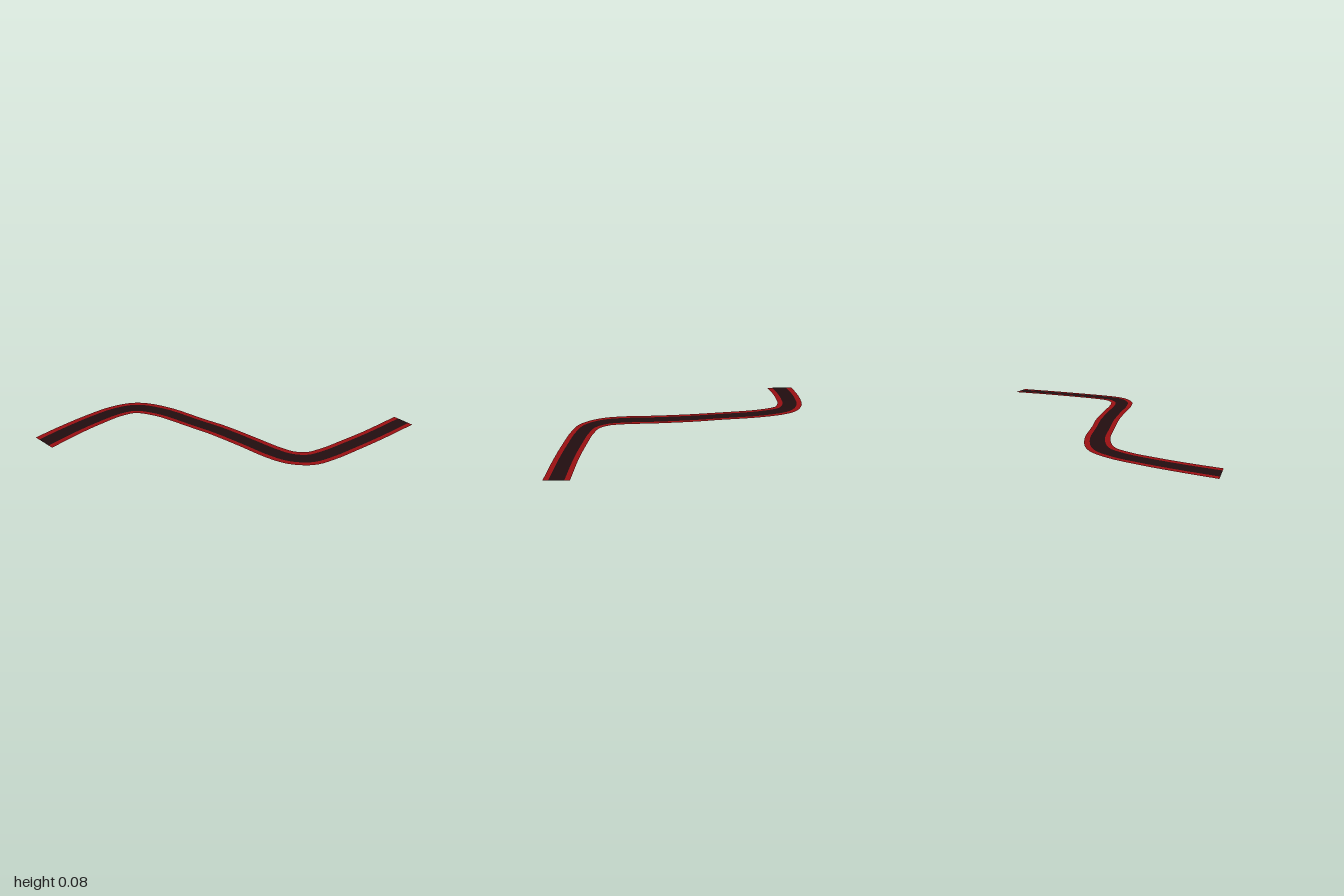
import * as THREE from 'three';

// Stations along the centre line: x, y, z, full width
const STATIONS = [
  [-0.668, 0, 0.99, 0.197],
  [-0.69, 0.015, 0.8, 0.188],
  [-0.70, 0.03, 0.6, 0.182],
  [-0.69, 0.043, 0.42, 0.175],
  [-0.637, 0.051, 0.29, 0.167],
  [-0.47, 0.057, 0.187, 0.156],
  [-0.16, 0.062, 0.1, 0.15],
  [0.015, 0.065, 0.053, 0.154],
  [0.255, 0.068, 0.008, 0.155],
  [0.465, 0.072, -0.025, 0.158],
  [0.585, 0.074, -0.065, 0.158],
  [0.67, 0.075, -0.15, 0.158],
  [0.70, 0.075, -0.287, 0.15],
  [0.709, 0.075, -0.45, 0.148],
  [0.715, 0.075, -0.68, 0.145],
  [0.709, 0.075, -1, 0.148],
];
const STEPS = 90;

const centreLine = new THREE.CatmullRomCurve3(
  STATIONS.map(([x, y, z]) => new THREE.Vector3(x, y, z)));

function widthAt(t) {
  const s = t * (STATIONS.length - 1);
  const i = Math.min(Math.floor(s), STATIONS.length - 2);
  return THREE.MathUtils.lerp(STATIONS[i][3], STATIONS[i + 1][3], s - i);
}

// Level strip between two fractions of the half width (-1 left edge, 1 right edge)
function strip(name, from, to, material) {
  const positions = [], index = [];
  for (let i = 0; i <= STEPS; i++) {
    const t = i / STEPS;
    const p = centreLine.getPoint(t);
    const d = centreLine.getTangent(t).setY(0).normalize();
    const half = widthAt(t) / 2;
    for (const f of [from, to]) {
      positions.push(p.x - d.z * half * f, p.y, p.z + d.x * half * f);
    }
    if (i < STEPS) {
      const a = i * 2;
      index.push(a, a + 1, a + 2, a + 1, a + 3, a + 2);
    }
  }
  const geometry = new THREE.BufferGeometry();
  geometry.setAttribute('position', new THREE.Float32BufferAttribute(positions, 3));
  geometry.setIndex(index);
  geometry.computeVertexNormals();
  const mesh = new THREE.Mesh(geometry, material);
  mesh.name = name;
  return mesh;
}

export function createModel() {
  const red = new THREE.MeshStandardMaterial({ color: 0x990f12, side: THREE.DoubleSide });
  red.name = 'borderRed';
  const dark = new THREE.MeshStandardMaterial({ color: 0x210d0f, side: THREE.DoubleSide });
  dark.name = 'roadDark';

  const group = new THREE.Group();
  group.name = 'windingRoad';
  const edge = 0.58;
  group.add(
    strip('leftBorder', -1, -edge, red),
    strip('roadSurface', -edge, edge, dark),
    strip('rightBorder', edge, 1, red),
  );
  return group;
}
